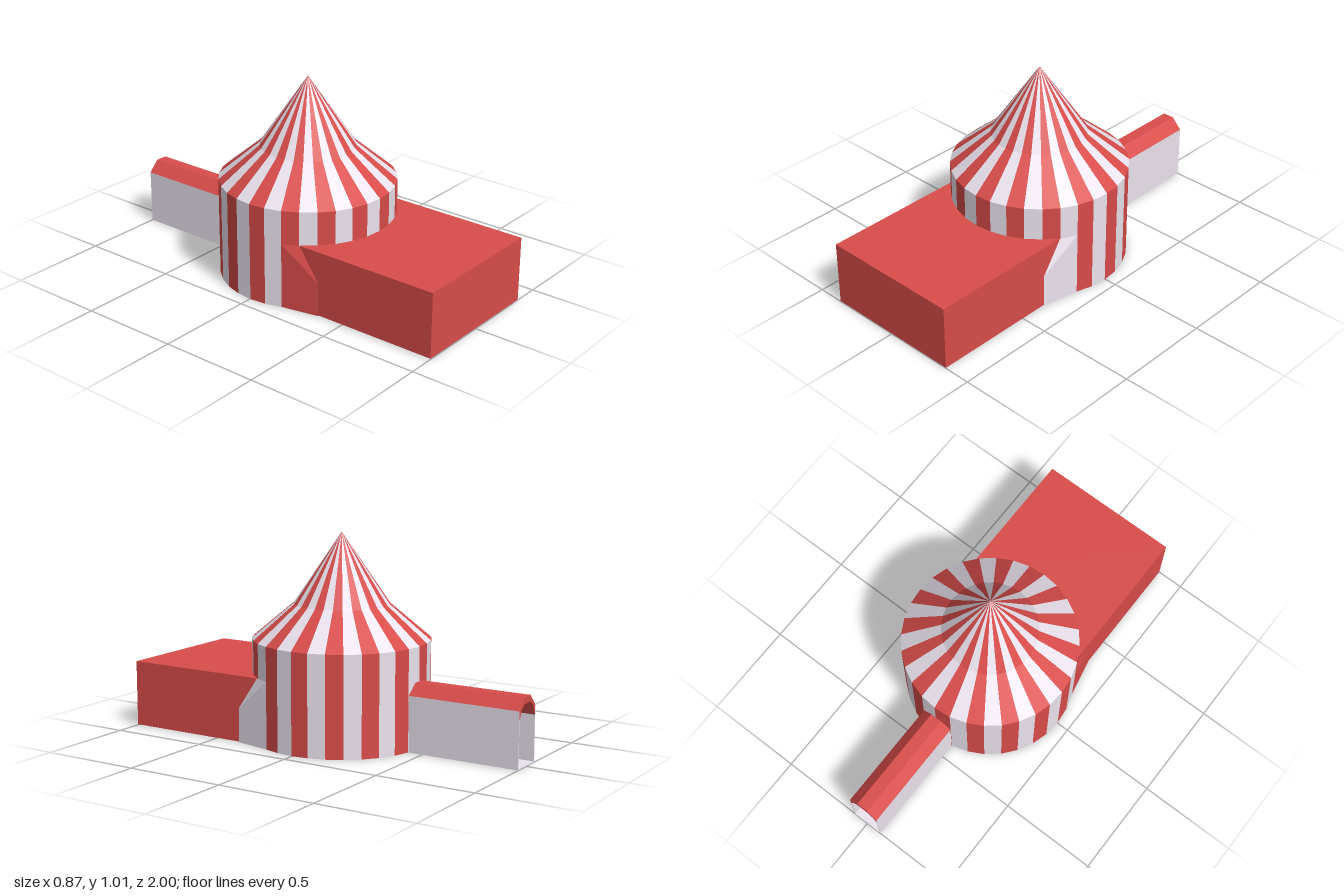
import * as THREE from 'three';
import { mergeGeometries } from 'three/addons/utils/BufferGeometryUtils.js';

const material = (color) => new THREE.MeshStandardMaterial({ color, flatShading: true, side: THREE.DoubleSide });

export function createModel() {
  const group = new THREE.Group();
  const red = material(0xd84c4a);
  const white = material(0xebe3ee);

  const add = (name, geometry, mat, x = 0, y = 0, z = 0) => {
    const mesh = new THREE.Mesh(geometry, mat);
    mesh.name = name;
    mesh.position.set(x, y, z);
    group.add(mesh);
    return mesh;
  };

  // Round tent: one lathe slice per stripe, walls and two-pitch roof together
  const sides = 32;
  const step = (Math.PI * 2) / sides;
  const radius = 0.436;
  const profile = [[radius, 0], [radius, 0.498], [0.235, 0.668], [0, 1.015]]
    .map(([x, y]) => new THREE.Vector2(x, y));
  const stripes = (first) => {
    const slices = [];
    for (let i = first; i < sides; i += 2) slices.push(new THREE.LatheGeometry(profile, 1, i * step, step));
    return mergeGeometries(slices);
  };
  add('redTentStripes', stripes(0), red, 0, 0, 0.003);
  add('whiteTentStripes', stripes(1), white, 0, 0, 0.003);
  const floor = new THREE.CircleGeometry(radius, sides).rotateX(Math.PI / 2);
  add('tentFloor', floor, white, 0, 0, 0.003);

  // Front hall
  add('frontHall', new THREE.BoxGeometry(0.726, 0.327, 0.75), red, 0, 0.1665, 0.625);

  // Canvas flaps joining the round wall to the hall sides
  for (const [name, s, mat] of [['leftFlap', 1, white], ['rightFlap', -1, red]]) {
    const hallLow = [0.365, 0, 0.36], hallMid = [0.365, 0.17, 0.36], hallTop = [0.365, 0.33, 0.25];
    const wallLow = [0.403, 0, 0.17], wallTop = [0.403, 0.33, 0.17], inner = [0.365, 0, 0.25];
    const triangles = [
      hallLow, wallLow, hallMid,
      hallMid, wallLow, wallTop,
      hallMid, wallTop, hallTop,
      hallLow, inner, wallLow,
    ];
    if (s < 0) triangles.reverse();
    const geometry = new THREE.BufferGeometry();
    const corners = triangles.flatMap(([x, y, z]) => [x * s, y, z]);
    geometry.setAttribute('position', new THREE.Float32BufferAttribute(corners, 3));
    geometry.computeVertexNormals();
    add(name, geometry, mat);
  }

  // Rear tunnel: thin walls and floor, open at the far end
  const length = 0.585;
  const middle = -1 + length / 2;
  for (const s of [1, -1]) {
    add(s > 0 ? 'leftTunnelWall' : 'rightTunnelWall',
      new THREE.BoxGeometry(0.004, 0.275, length), white, s * 0.081, 0.1375, middle);
  }
  add('tunnelFloor', new THREE.BoxGeometry(0.16, 0.004, length), white, 0, 0.003, middle);

  // Tunnel roof: bevelled outside, arched underneath
  const roof = new THREE.Shape([
    [0.08, 0.225], [0.08, 0.275], [0.083, 0.275], [0.03, 0.33], [-0.03, 0.33], [-0.083, 0.275],
    [-0.08, 0.275], [-0.08, 0.225], [-0.06, 0.275], [-0.03, 0.298], [0.03, 0.298], [0.06, 0.275],
  ].map(([x, y]) => new THREE.Vector2(x, y)));
  add('tunnelRoof', new THREE.ExtrudeGeometry(roof, { depth: length, bevelEnabled: false }), red, 0, 0, -1);

  return group;
}
